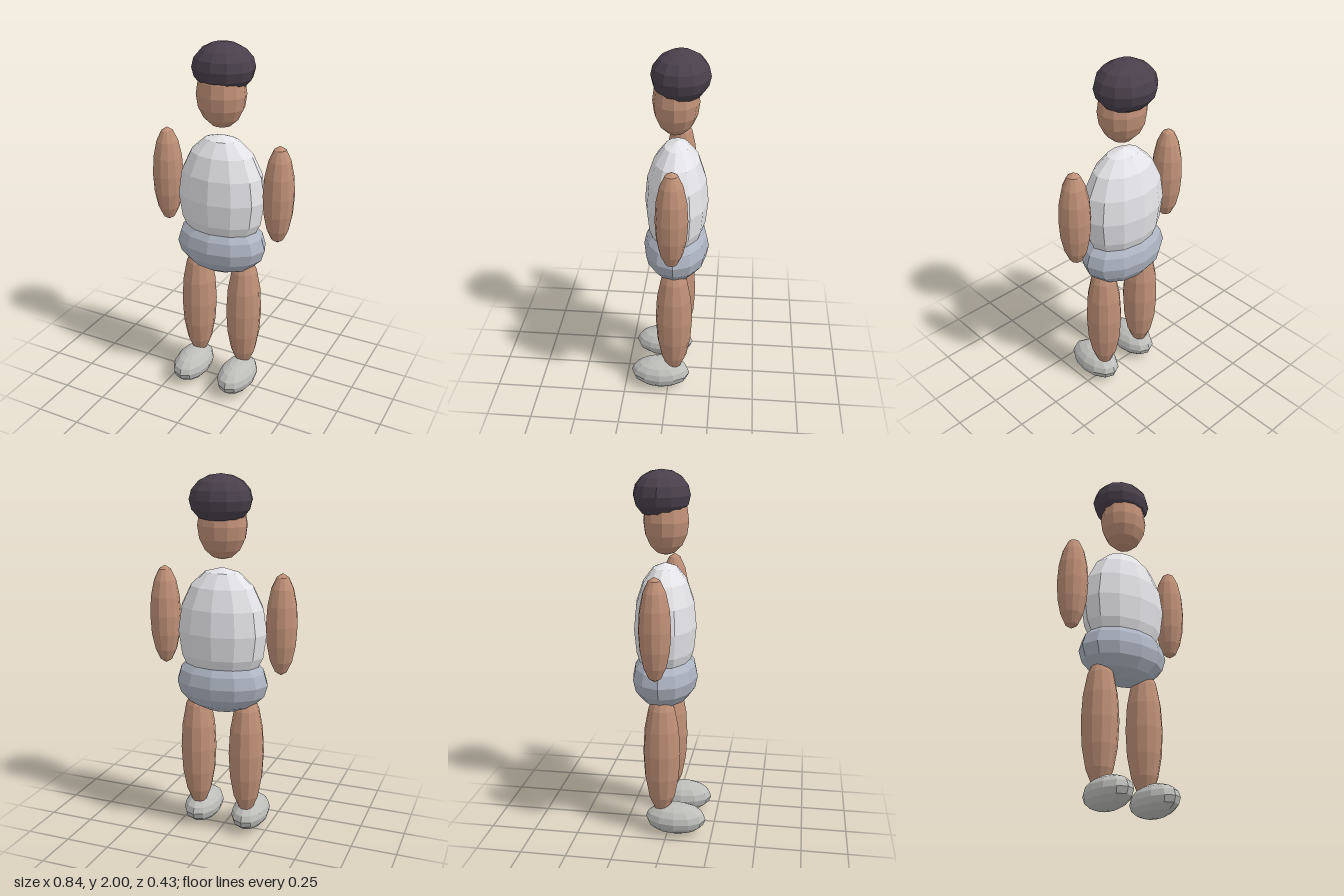
import * as THREE from 'three';

const material = (color) => new THREE.MeshStandardMaterial({ color, flatShading: true });

export function createModel() {
  const model = new THREE.Group();
  model.name = 'figure';

  const skin = material(0xbf9077);
  const hairColor = material(0x4a404c);
  const shirt = material(0xe4e4e8);
  const shorts = material(0xaeb5c2);
  const shoes = material(0xbdbdba);

  // Every part is a faceted ball stretched to its own radii
  const ball = new THREE.SphereGeometry(1, 12, 8);
  const addBall = (name, mat, [x, y, z], [rx, ry, rz]) => {
    const geometry = ball.clone().scale(rx, ry, rz);
    const mesh = new THREE.Mesh(geometry, mat);
    mesh.name = name;
    mesh.position.set(x, y, z);
    model.add(mesh);
  };

  // Head and hair
  addBall('head', skin, [0, 1.735, -0.03], [0.136, 0.18, 0.122]);
  addBall('hair', hairColor, [0, 1.87, -0.053], [0.17, 0.13, 0.153]);

  // Body
  addBall('torso', shirt, [0, 1.17, -0.035], [0.254, 0.345, 0.171]);
  addBall('hips', shorts, [0, 0.885, -0.035], [0.263, 0.17, 0.18]);

  // Limbs, mirrored left and right
  for (const [side, s] of [['left', 1], ['right', -1]]) {
    addBall(side + 'Arm', skin, [s * 0.335, 1.23, -0.035], [0.085, 0.275, 0.085]);
    addBall(side + 'Leg', skin, [s * 0.143, 0.48, -0.033], [0.099, 0.365, 0.103]);
    addBall(side + 'Foot', shoes, [s * 0.145, 0.087, 0.045], [0.102, 0.087, 0.17]);
  }

  return model;
}
